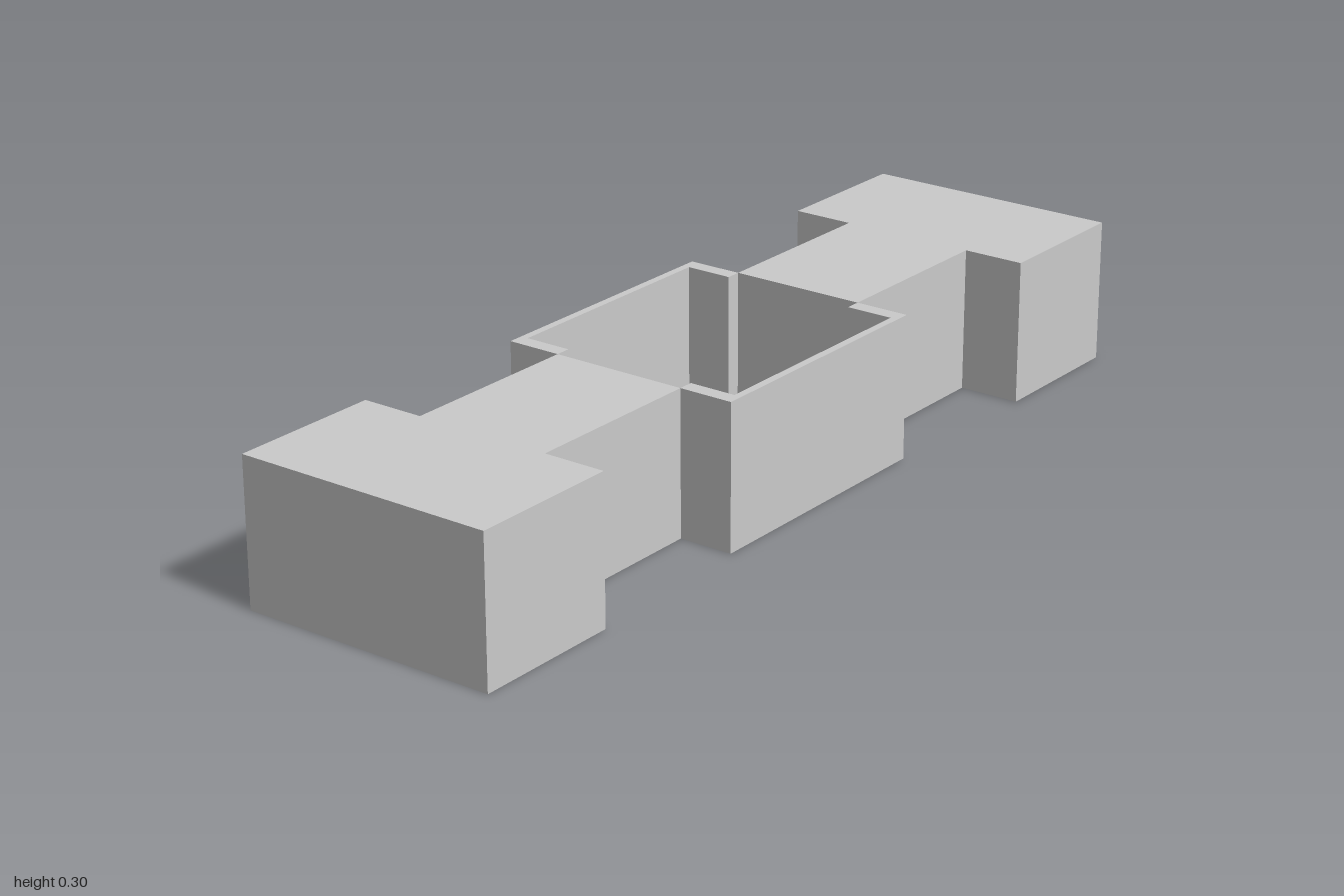
import * as THREE from 'three';

const HEIGHT = 0.303;
const FLOOR = 0.005;

export function createModel() {
  const model = new THREE.Group();
  const material = new THREE.MeshStandardMaterial({ color: 0xcccccc, flatShading: true });

  // Extrudes a plan outline of [x, z] points upwards from y = 0
  const addPrism = (name, outline, turn) => {
    const shape = new THREE.Shape(outline.map(([x, z]) => new THREE.Vector2(x, -z)));
    const geometry = new THREE.ExtrudeGeometry(shape, { depth: HEIGHT, bevelEnabled: false });
    geometry.rotateX(-Math.PI / 2);
    const mesh = new THREE.Mesh(geometry, material);
    mesh.name = name;
    mesh.rotation.y = turn;
    model.add(mesh);
  };

  // Half-widths in x
  const block = 0.278, arm = 0.146, outer = 0.262, inner = 0.246;
  // Distances along z
  const end = 1, shoulder = 0.679, box = 0.287, pocket = 0.255;

  // T-shaped end: wide block with a narrow arm reaching the central box
  const endOutline = [
    [-block, end], [block, end], [block, shoulder], [arm, shoulder],
    [arm, box], [-arm, box], [-arm, shoulder], [-block, shoulder],
  ];
  addPrism('frontEnd', endOutline, 0);
  addPrism('backEnd', endOutline, Math.PI);

  // C-shaped thin walls closing the central box on each side
  const wallOutline = [
    [arm, box], [outer, box], [outer, -box], [arm, -box],
    [arm, -pocket], [inner, -pocket], [inner, pocket], [arm, pocket],
  ];
  addPrism('leftBoxWall', wallOutline, 0);
  addPrism('rightBoxWall', wallOutline, Math.PI);

  // Thin floor of the open box
  const floor = new THREE.Mesh(new THREE.BoxGeometry(outer * 2, FLOOR, box * 2), material);
  floor.name = 'boxFloor';
  floor.position.y = FLOOR / 2;
  model.add(floor);

  return model;
}
